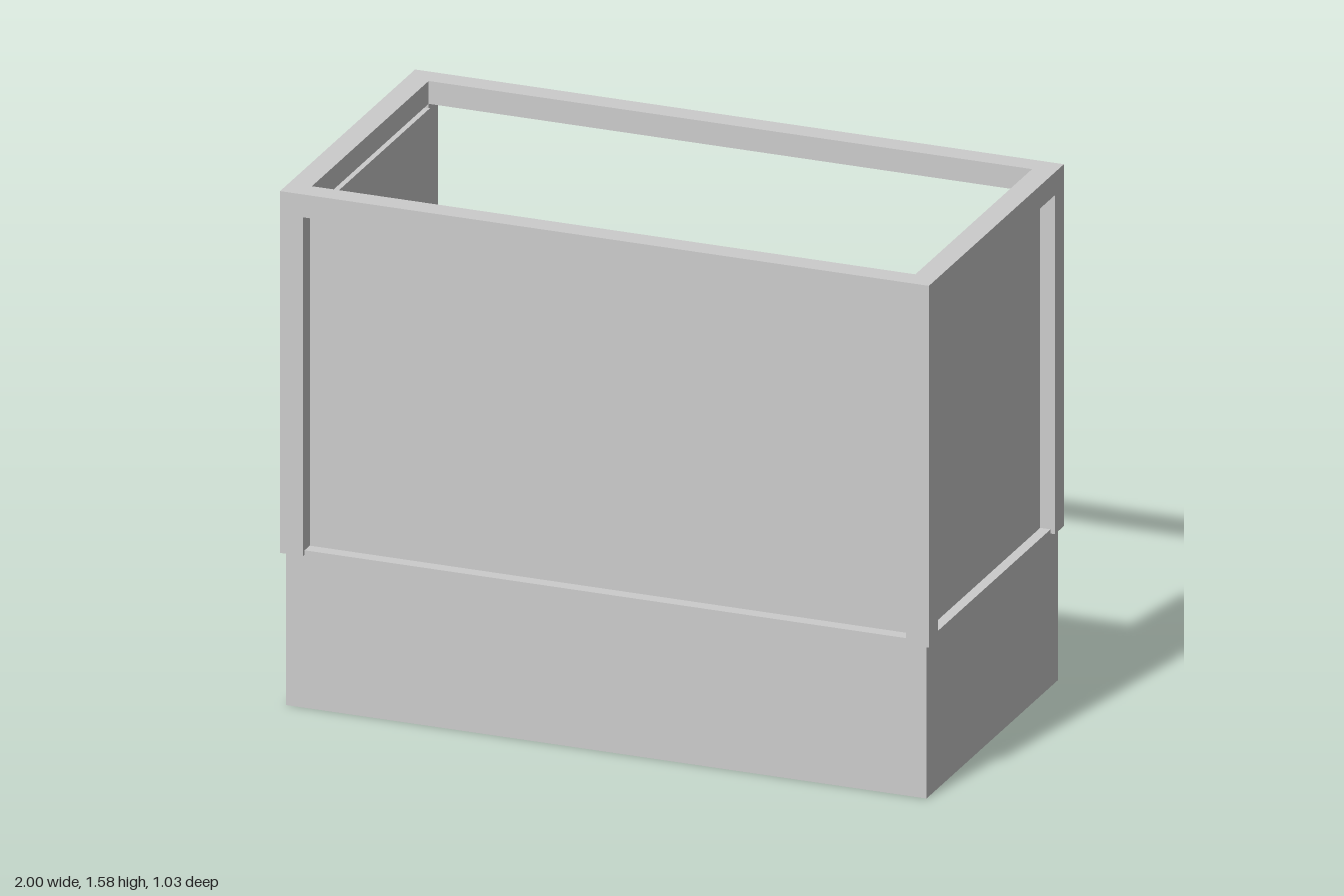
import * as THREE from 'three';

export function createModel() {
  const model = new THREE.Group();
  const grey = new THREE.MeshStandardMaterial({ color: 0xcccccc });
  grey.name = 'plain grey';

  const add = (name, geometry, parent = model) => {
    const mesh = new THREE.Mesh(geometry, grey);
    mesh.name = name;
    parent.add(mesh);
    return mesh;
  };
  // Box given by its two opposite corners
  const box = (name, [x0, y0, z0], [x1, y1, z1], parent) => {
    const mesh = add(name, new THREE.BoxGeometry(x1 - x0, y1 - y0, z1 - z0), parent);
    mesh.position.set((x0 + x1) / 2, (y0 + y1) / 2, (z0 + z1) / 2);
    return mesh;
  };

  const W = 1, D = 0.517, bar = 0.07, top = 1.58, baseTop = 0.483;
  const inX = W - bar, inZ = D - bar, railY = top - bar;

  // Cabinet base and sand bed
  box('base', [-0.987, 0, -0.503], [0.987, baseTop, 0.503]);
  box('sand', [-0.926, baseTop, -inZ], [0.926, 0.55, 0.42]);

  // Frame: four posts, a top ring and a low back rail
  const frame = new THREE.Group();
  frame.name = 'frame';
  model.add(frame);
  for (const sx of [-1, 1]) {
    for (const sz of [-1, 1]) {
      const post = box('cornerPost', [inX, 0.47, inZ], [W, railY, D], frame);
      post.position.x *= sx;
      post.position.z *= sz;
    }
  }
  const ring = new THREE.Shape([
    new THREE.Vector2(-W, -D), new THREE.Vector2(W, -D),
    new THREE.Vector2(W, D), new THREE.Vector2(-W, D),
  ]);
  ring.holes.push(new THREE.Path([
    new THREE.Vector2(-inX, -inZ), new THREE.Vector2(-inX, inZ),
    new THREE.Vector2(inX, inZ), new THREE.Vector2(inX, -inZ),
  ]));
  const ringGeometry = new THREE.ExtrudeGeometry(ring, { depth: bar, bevelEnabled: false });
  ringGeometry.rotateX(-Math.PI / 2);
  add('topRing', ringGeometry, frame).position.y = railY;
  box('backRail', [-inX, 0.48, -D], [inX, 0.572, -inZ], frame);

  // Panes, stopping just short of the top ring
  const paneTop = 1.497;
  box('frontPane', [-inX, baseTop, 0.42], [inX, paneTop, 0.463]);
  for (const s of [-1, 1]) {
    box('sidePane', [0.926, baseTop, -inZ], [0.955, paneTop, inZ]).position.x *= s;
  }

  // Tilted five-sided rock, sunk a little into the sand
  const rockGeometry = new THREE.CylinderGeometry(0.06, 0.165, 0.18, 5).toNonIndexed();
  rockGeometry.rotateY(Math.PI);
  rockGeometry.translate(0, 0.09, 0);
  rockGeometry.computeVertexNormals();
  const rock = add('rock', rockGeometry);
  rock.position.set(0.382, 0.555, 0.187);
  rock.rotation.set(0.14, 0, -0.13);

  // Wavy plant blades: centre x, height, half width
  const blade = [
    [0.04, 0, 0.033], [0.015, 0.1, 0.028], [-0.03, 0.22, 0.024],
    [-0.05, 0.36, 0.018], [-0.04, 0.5, 0.016], [-0.02, 0.6, 0.008],
  ];
  const outline = [
    ...blade.map(([x, y, w]) => new THREE.Vector2(x + w, y)),
    ...blade.slice().reverse().map(([x, y, w]) => new THREE.Vector2(x - w, y)),
  ];
  const bladeGeometry = new THREE.ExtrudeGeometry(new THREE.Shape(outline), { depth: 0.01, bevelEnabled: false });
  bladeGeometry.translate(0, 0, -0.005);
  for (const [x, z] of [[0.682, 0.26], [-0.622, 0.285], [-0.497, 0.238]]) {
    add('plant', bladeGeometry).position.set(x, 0.55, z);
  }

  return model;
}
